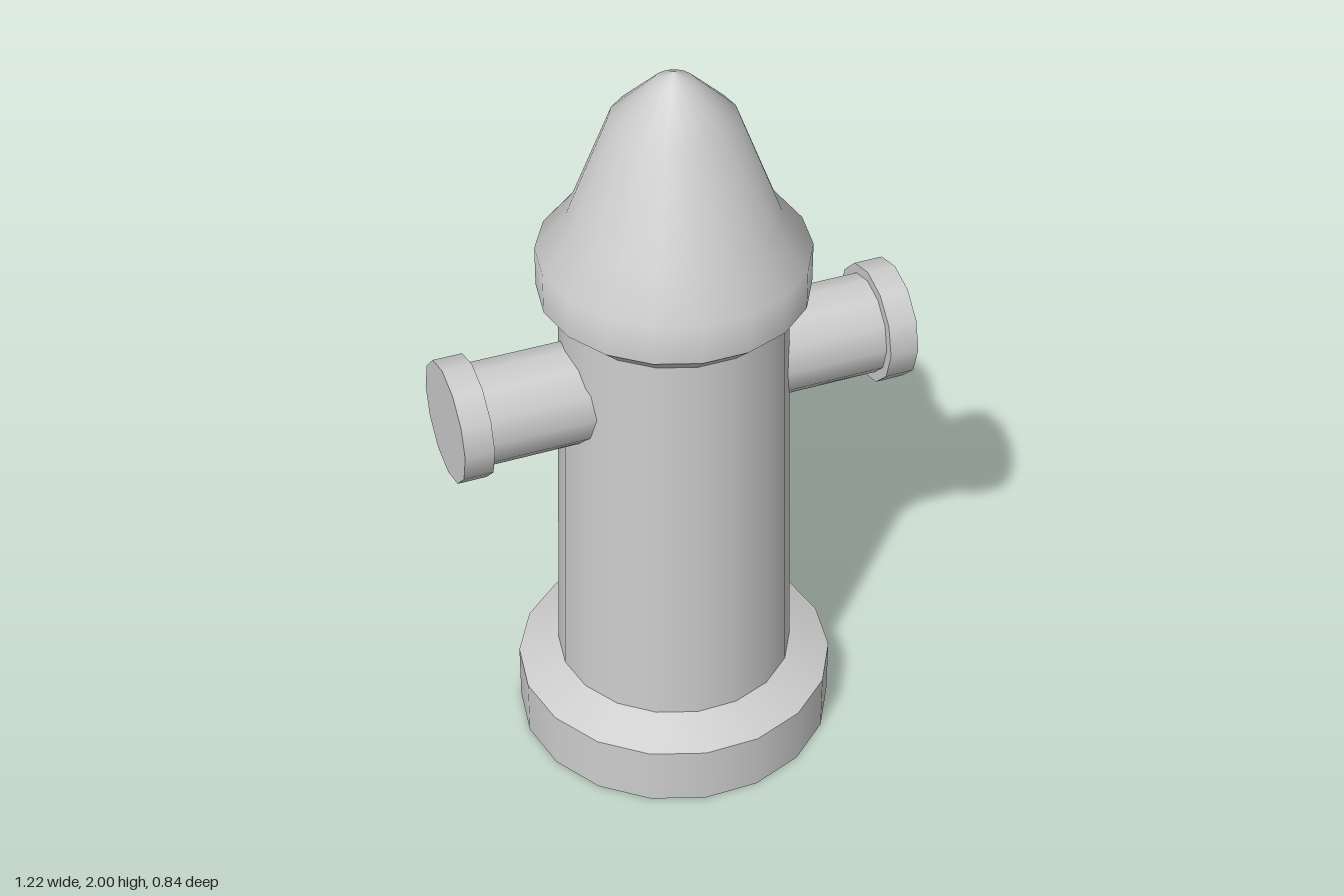
import * as THREE from 'three';

export function createModel() {
  const model = new THREE.Group();
  model.name = 'hydrant';
  const iron = new THREE.MeshStandardMaterial({ color: 0xcccccc });
  iron.name = 'castIron';

  // Smooth surface of revolution, listed bottom to top; separate bands keep hard edges
  const turned = (name, profile) => {
    const points = profile.map(([r, y]) => new THREE.Vector2(r, y));
    const mesh = new THREE.Mesh(new THREE.LatheGeometry(points, 18, Math.PI / 2), iron);
    mesh.name = name;
    model.add(mesh);
  };

  // Base flange
  turned('baseUnderside', [[0, 0], [0.425, 0]]);
  turned('baseRim', [[0.425, 0], [0.425, 0.165]]);
  turned('baseShoulder', [[0.425, 0.165], [0.317, 0.215]]);

  // Tapered barrel
  turned('barrel', [[0.317, 0.215], [0.29, 1.338]]);

  // Bonnet with a bevelled lip and a domed top
  turned('bonnetLip', [[0.29, 1.338], [0.345, 1.39]]);
  turned('bonnet', [
    [0.345, 1.39], [0.345, 1.5], [0.265, 1.6], [0.16, 1.87], [0.05, 1.975], [0, 2],
  ]);

  // Side outlets, each a pipe with a wider end cap
  for (const [side, label] of [[1, 'left'], [-1, 'right']]) {
    const outlet = new THREE.Group();
    outlet.name = label + 'Outlet';
    const drum = (name, radius, inner, outer) => {
      const geometry = new THREE.CylinderGeometry(radius, radius, outer - inner, 12);
      geometry.rotateZ(Math.PI / 2);
      const mesh = new THREE.Mesh(geometry, iron);
      mesh.name = name;
      mesh.position.set(side * (inner + outer) / 2, 1.123, 0);
      outlet.add(mesh);
    };
    drum('outletPipe', 0.133, 0.2, 0.54);
    drum('outletCap', 0.159, 0.535, 0.612);
    model.add(outlet);
  }

  return model;
}
